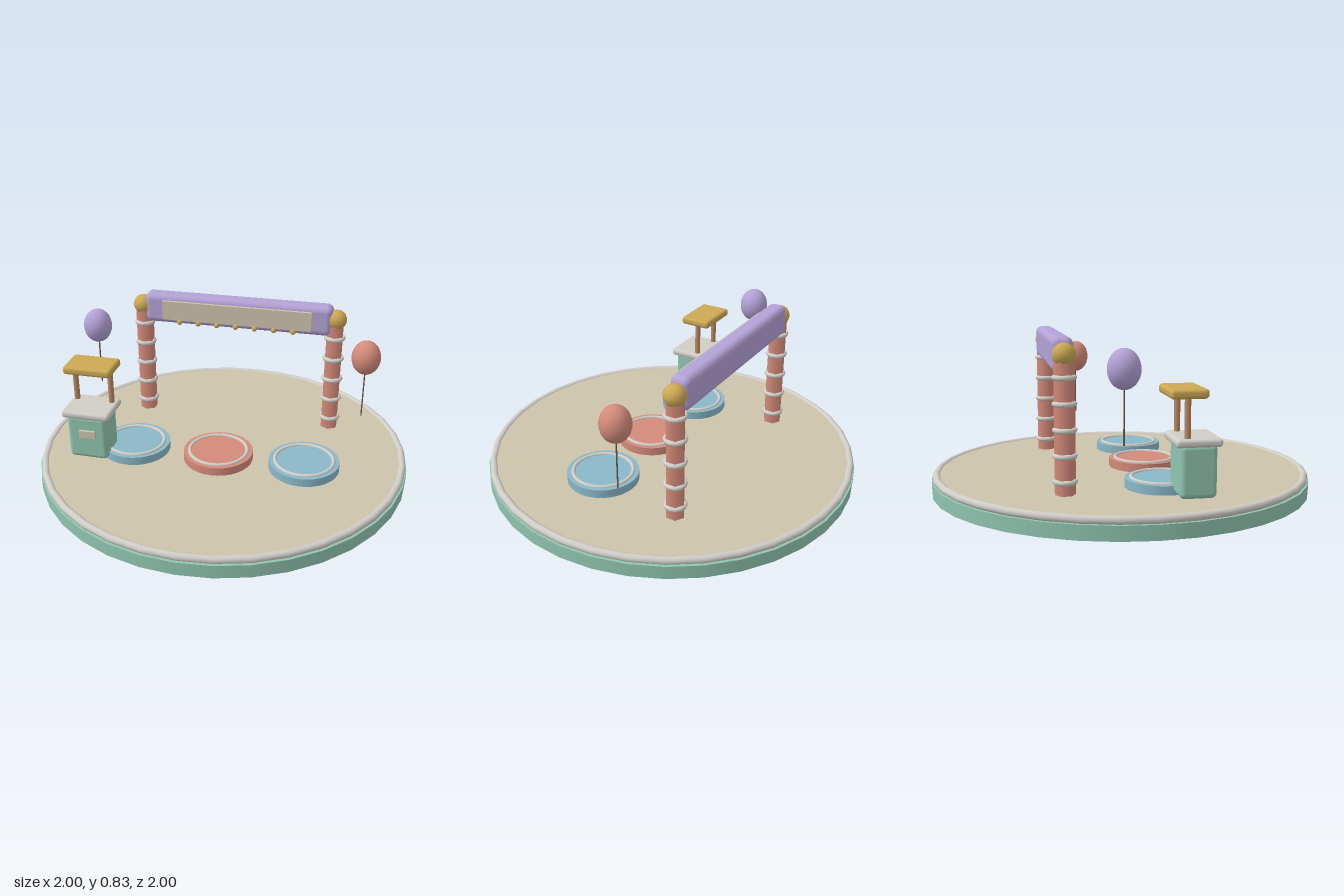
import * as THREE from 'three';
import { RoundedBoxGeometry } from 'three/addons/geometries/RoundedBoxGeometry.js';

const paint = (name, color) => {
  const m = new THREE.MeshStandardMaterial({ color });
  m.name = name;
  return m;
};

export function createModel() {
  const mint = paint('mint', 0x90c4b0);
  const sand = paint('sand', 0xcdc3ab);
  const lilac = paint('lilac', 0xb3a2d6);
  const coral = paint('coral', 0xd48a7a);
  const blue = paint('blue', 0x8ab8c9);
  const gold = paint('gold', 0xcda855);
  const grey = paint('pale grey', 0xd0cdc7);
  const wood = paint('wood', 0xb98a62);
  const cord = paint('cord', 0x6a564a);

  const model = new THREE.Group();
  model.name = 'trampolinePark';

  const group = (name, x = 0, y = 0, z = 0) => {
    const g = new THREE.Group();
    g.name = name;
    g.position.set(x, y, z);
    model.add(g);
    return g;
  };
  const add = (parent, name, geometry, material, x = 0, y = 0, z = 0) => {
    const m = new THREE.Mesh(geometry, material);
    m.name = name;
    m.position.set(x, y, z);
    parent.add(m);
    return m;
  };
  // Upright cylinder given by its bottom and top heights
  const column = (parent, name, r, y0, y1, sides, material, x = 0, z = 0) =>
    add(parent, name, new THREE.CylinderGeometry(r, r, y1 - y0, sides), material, x, (y0 + y1) / 2, z);
  // Flat-lying ring
  const ring = (parent, name, r, tube, sides, material, y) =>
    add(parent, name, new THREE.TorusGeometry(r, tube, 10, sides).rotateX(Math.PI / 2), material, 0, y, 0);
  // Rounded box given by its limits on each axis
  const block = (parent, name, [x0, x1], [y0, y1], [z0, z1], radius, material) =>
    add(parent, name, new RoundedBoxGeometry(x1 - x0, y1 - y0, z1 - z0, 3, radius), material,
      (x0 + x1) / 2, (y0 + y1) / 2, (z0 + z1) / 2);

  // Round platform
  const platform = group('platform');
  column(platform, 'platformBase', 1, 0, 0.07, 36, mint);
  column(platform, 'platformFloor', 0.97, 0.065, 0.098, 36, sand);
  ring(platform, 'platformRim', 0.975, 0.02, 36, grey, 0.087);

  // Trampolines
  [[-0.465, blue], [0, coral], [0.465, blue]].forEach(([x, material]) => {
    const t = group('trampoline', x, 0, 0.13);
    column(t, 'trampolineBase', 0.187, 0.09, 0.143, 32, material);
    ring(t, 'trampolineRing', 0.155, 0.01, 32, grey, 0.143);
  });

  // Gate posts with rings and ball caps
  for (const side of [-1, 1]) {
    const post = group('gatePost', side * 0.545, 0, -0.355);
    column(post, 'postShaft', 0.05, 0.09, 0.74, 6, coral);
    for (let i = 0; i < 5; i++) ring(post, 'postRing', 0.047, 0.013, 12, grey, 0.16 + i * 0.1225);
    add(post, 'postBall', new THREE.SphereGeometry(0.056, 16, 12), gold, side * 0.005, 0.755, 0);
  }

  // Gate beam with sign panel and bulbs
  const beam = group('gateBeam');
  block(beam, 'beam', [-0.53, 0.53], [0.664, 0.835], [-0.41, -0.308], 0.035, lilac);
  add(beam, 'signPanel', new THREE.BoxGeometry(0.84, 0.108, 0.02), sand, 0, 0.75, -0.302);
  for (let i = -3; i <= 3; i++)
    add(beam, 'bulb', new THREE.SphereGeometry(0.015, 10, 8), gold, i * 0.107, 0.687, -0.29);

  // Ticket booth
  const booth = group('ticketBooth');
  block(booth, 'boothBody', [-0.78, -0.565], [0.108, 0.36], [0.14, 0.315], 0.025, mint);
  block(booth, 'boothCounter', [-0.802, -0.54], [0.35, 0.39], [0.115, 0.333], 0.017, grey);
  block(booth, 'boothRoof', [-0.802, -0.54], [0.57, 0.615], [0.088, 0.265], 0.017, gold);
  for (const x of [-0.77, -0.575]) column(booth, 'boothPole', 0.015, 0.38, 0.58, 10, wood, x, 0.172);
  add(booth, 'boothSign', new THREE.BoxGeometry(0.088, 0.042, 0.016), sand, -0.667, 0.26, 0.321);

  // Balloons on strings
  [[-0.737, 0.704, -0.11, lilac], [0.731, 0.637, -0.155, coral]].forEach(([x, y, z, material]) => {
    const b = group('balloon', x, y, z);
    add(b, 'balloonBody', new THREE.SphereGeometry(0.077, 20, 16).scale(1, 1.21, 1), material);
    column(b, 'balloonString', 0.004, -0.345, -0.085, 6, cord);
  });

  return model;
}
